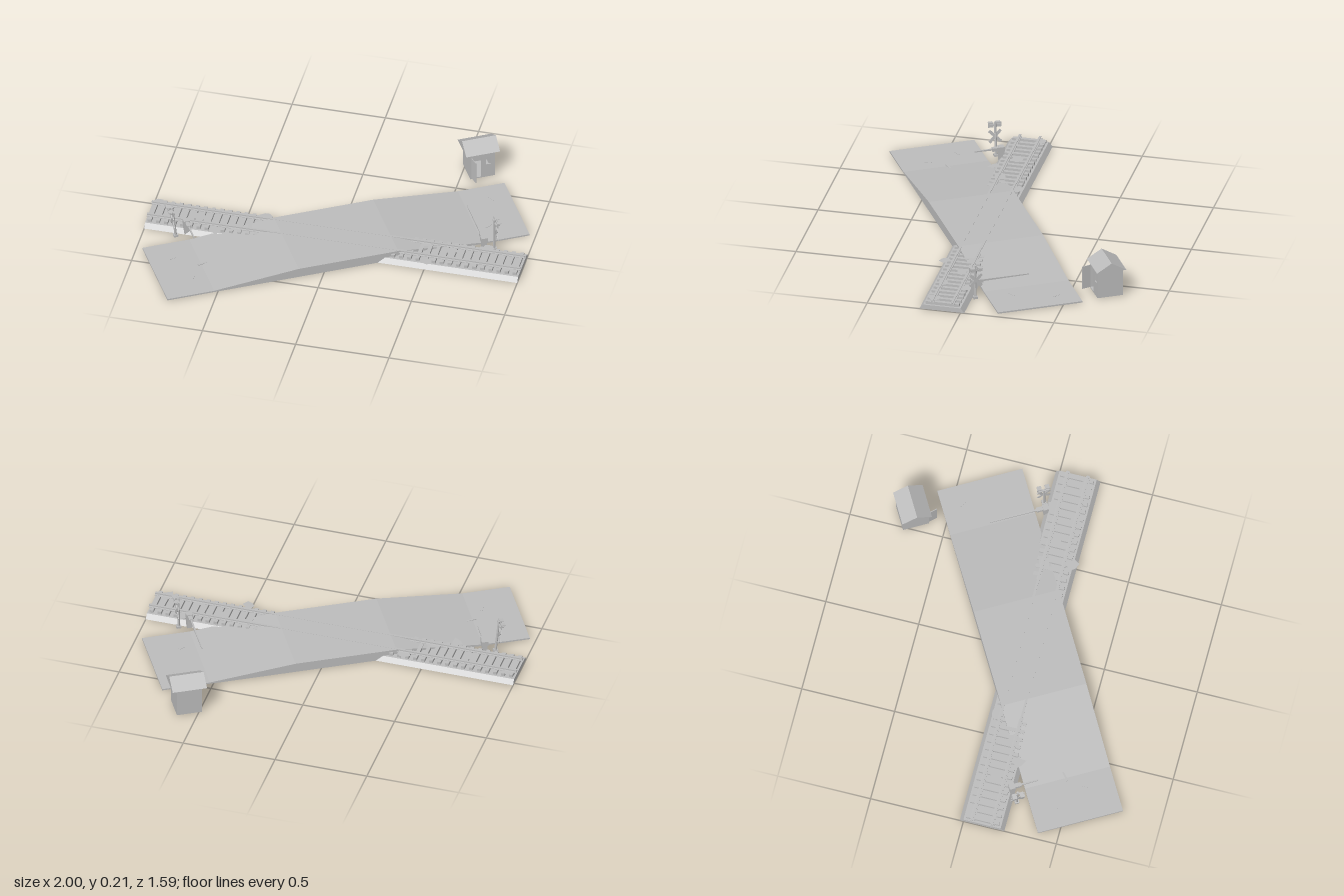
import * as THREE from 'three';

const grey = new THREE.MeshStandardMaterial({ color: 0xbcbcbc, flatShading: true, side: THREE.DoubleSide });
grey.name = 'plain grey';

function add(parent, name, geometry, x = 0, y = 0, z = 0) {
  const mesh = new THREE.Mesh(geometry, grey);
  mesh.name = name;
  mesh.position.set(x, y, z);
  parent.add(mesh);
  return mesh;
}

function group(parent, name, x = 0, y = 0, z = 0) {
  const g = new THREE.Group();
  g.name = name;
  g.position.set(x, y, z);
  parent.add(g);
  return g;
}

const box = (w, h, d) => new THREE.BoxGeometry(w, h, d);

// Extrudes a 2D outline, centred on its depth
function prism(points, depth, holes = []) {
  const shape = new THREE.Shape(points.map(p => new THREE.Vector2(...p)));
  for (const h of holes) shape.holes.push(new THREE.Path(h.map(p => new THREE.Vector2(...p))));
  return new THREE.ExtrudeGeometry(shape, { depth, bevelEnabled: false }).translate(0, 0, -depth / 2);
}

function seeded(seed) {
  return () => (seed = (seed * 16807) % 2147483647) / 2147483647;
}

// Ballast bed, sleepers, rails and loose weed patches
function buildTrack(root) {
  const track = group(root, 'track', 0, 0, 0.1);
  const bed = prism([[-0.12, 0], [0.12, 0], [0.1, 0.025], [-0.1, 0.025]], 2);
  add(track, 'ballastBed', bed.rotateY(Math.PI / 2));
  for (let i = 0; i < 46; i++) {
    add(track, 'sleeper', box(0.02, 0.016, 0.178), -0.978 + i * 0.04347, 0.033, 0);
  }
  const half = [[0.011, 0.04], [0.011, 0.043], [0.003, 0.044], [0.003, 0.049], [0.006, 0.05], [0.006, 0.053]];
  const outline = [...half, ...half.map(([x, y]) => [-x, y]).reverse()];
  for (const s of [-1, 1]) {
    add(track, 'rail', prism(outline, 2).rotateY(Math.PI / 2), 0, 0, s * 0.054);
  }
  const rand = seeded(77);
  const spots = [[-0.96, -0.07], [-0.73, 0], [-0.52, 0.045], [-0.39, -0.08], [-0.63, 0.1], [0.48, -0.05],
    [0.5, 0.1], [0.62, -0.02], [0.75, 0.05], [0.79, -0.075], [0.94, 0.06]];
  for (const [x, z] of spots) {
    const pts = [];
    for (let i = 0; i < 6; i++) {
      const a = i / 6 * Math.PI * 2, r = 0.022 + rand() * 0.022;
      pts.push(new THREE.Vector2(Math.cos(a) * r, Math.sin(a) * r));
    }
    const patch = add(track, 'weedPatch', new THREE.ShapeGeometry(new THREE.Shape(pts)), x, 0.043, z);
    patch.rotation.x = -Math.PI / 2;
  }
}

// Crossing sign with a pair of warning lamps
function buildSignal(parent, x, z) {
  const s = group(parent, 'signal', x, 0, z);
  add(s, 'post', new THREE.CylinderGeometry(0.006, 0.007, 0.19, 8), 0, 0.095, 0);
  add(s, 'postFoot', box(0.024, 0.012, 0.024), 0, 0.006, 0);
  for (const side of [-1, 1]) {
    const plank = add(s, 'crossPlank', box(0.004, 0.016, 0.09), 0.009, 0.108, 0);
    plank.rotation.x = side * 0.8;
    const lamp = group(s, 'lamp', 0.009, 0.172, side * 0.021);
    add(lamp, 'backPlate', box(0.004, 0.026, 0.03));
    add(lamp, 'lens', new THREE.CylinderGeometry(0.009, 0.009, 0.012, 10).rotateZ(Math.PI / 2), 0.007);
    add(lamp, 'hood', box(0.02, 0.003, 0.024), 0.011, 0.011, 0);
  }
  add(s, 'lampBar', box(0.008, 0.008, 0.06), 0.003, 0.172, 0);
  return s;
}

// Tapered boom pointing along -z from its pivot
function boom(parent, name, length, tipScale) {
  const g = new THREE.CylinderGeometry(0.0055 * tipScale, 0.0075, length, 4).rotateY(Math.PI / 4);
  return add(parent, name, g.translate(0, length / 2, 0).rotateX(-Math.PI / 2));
}

function buildBarrier(parent, x, z, length) {
  const b = group(parent, 'barrier', x, 0, z);
  add(b, 'barrierPost', box(0.026, 0.07, 0.026), 0, 0.035, 0);
  add(b, 'motorHousing', box(0.034, 0.026, 0.03), 0, 0.072, 0);
  boom(b, 'boomArm', length, 0.7).position.set(0, 0.072, 0);
  add(b, 'counterweight', box(0.022, 0.018, 0.04), 0, 0.072, -0.03);
  return b;
}

// Keeper's hut with an open door
function buildHut(root) {
  const hut = group(root, 'hut', 0.578, 0, -0.683);
  hut.rotation.y = Math.PI / 6;
  const w = 0.134, d = 0.14, h = 0.162, t = 0.006;
  const front = prism([[-w / 2, 0], [w / 2, 0], [w / 2, h], [-w / 2, h]], t, [
    [[-0.06, 0.006], [-0.06, 0.135], [-0.008, 0.135], [-0.008, 0.006]],
    [[0.018, 0.08], [0.018, 0.122], [0.046, 0.122], [0.046, 0.08]],
  ]);
  add(hut, 'frontWall', front, 0, 0, d / 2 - t / 2);
  add(hut, 'backWall', box(w, h, t), 0, h / 2, -d / 2 + t / 2);
  for (const s of [-1, 1]) add(hut, 'sideWall', box(t, h, d - 2 * t), s * (w - t) / 2, h / 2, 0);
  add(hut, 'floor', box(w - 2 * t, t, d - 2 * t), 0, t / 2, 0);
  const roof = prism([[-0.1, 0.156], [0.1, 0.156], [0, 0.204]], 0.184).rotateY(Math.PI / 2);
  add(hut, 'roof', roof.scale(1, 1, 0.8));
  const door = group(hut, 'door', -0.06, 0, d / 2);
  door.rotation.y = -1.35;
  add(door, 'doorPanel', box(0.05, 0.128, 0.004), 0.025, 0.071, 0);
}

export function createModel() {
  const root = new THREE.Group();
  root.name = 'railwayCrossing';
  buildTrack(root);

  // Road humped over the track, set at an angle
  const road = group(root, 'roadCrossing', 0, 0, 0.1);
  road.rotation.y = Math.PI / 6;
  const surface = prism([[-0.984, 0], [0.984, 0], [0.984, 0.008], [0.73, 0.008],
    [0.27, 0.052], [-0.27, 0.052], [-0.73, 0.008], [-0.984, 0.008]], 0.46);
  add(road, 'roadSurface', surface);

  // Thin cracked slabs on the approaches
  for (const [x, z, a] of [[-0.86, -0.1, 0.3], [-0.8, 0.08, 1.1], [0.8, 0.1, 0.5], [0.88, -0.12, 2]]) {
    add(road, 'roadChip', box(0.04, 0.002, 0.012), x, 0.0085, z).rotation.y = a;
  }

  // One full barrier, and on the far side a broken one
  buildSignal(road, 0.775, 0.29);
  buildBarrier(road, 0.72, 0.283, 0.3);
  const farSide = group(road, 'brokenSide');
  farSide.rotation.y = Math.PI;
  const bent = buildSignal(farSide, 0.785, 0.29);
  bent.rotation.z = -0.1;
  buildBarrier(farSide, 0.725, 0.3, 0.145);
  const fallen = boom(root, 'fallenBoom', 0.13, 0.7);
  fallen.position.set(-0.65, 0.007, 0.47);
  fallen.rotation.y = -0.85;

  buildHut(root);
  return root;
}
